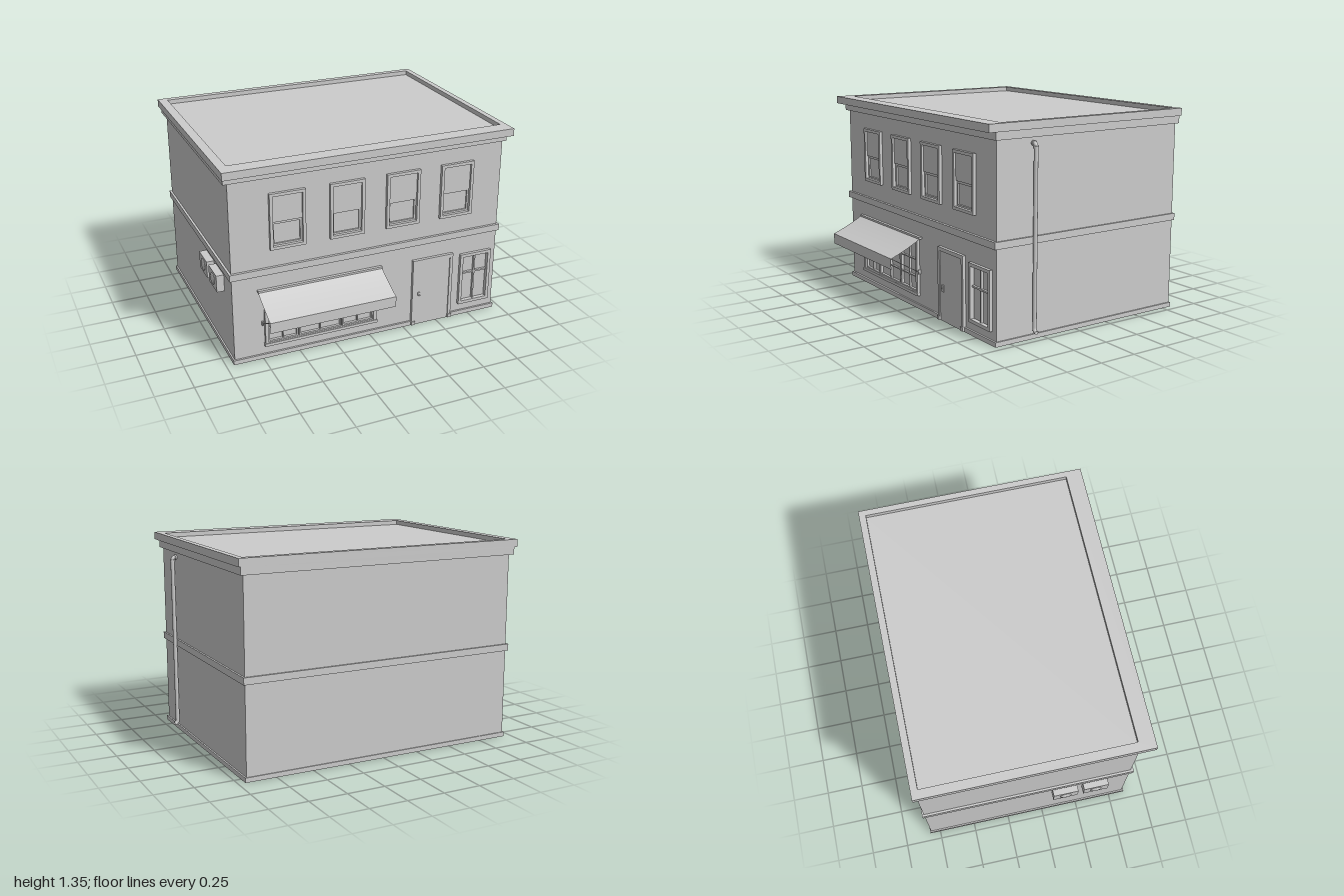
import * as THREE from 'three';

const grey = new THREE.MeshStandardMaterial({ color: 0xcccccc, side: THREE.DoubleSide });
const WALL = { x0: -0.94, x1: 0.945, z0: -0.815, z1: 0.597, top: 1.3 };

export function createModel() {
  const model = new THREE.Group();

  const add = (name, geometry, parent = model) => {
    const mesh = new THREE.Mesh(geometry, grey);
    mesh.name = name;
    parent.add(mesh);
    return mesh;
  };
  const group = (name) => {
    const g = new THREE.Group();
    g.name = name;
    model.add(g);
    return g;
  };
  // Box given by its limits on each axis
  const box = (name, x0, x1, y0, y1, z0, z1, parent) =>
    add(name, new THREE.BoxGeometry(x1 - x0, y1 - y0, z1 - z0)
      .translate((x0 + x1) / 2, (y0 + y1) / 2, (z0 + z1) / 2), parent);
  const rect = (Type, x0, x1, y0, y1) => new Type([
    [x0, y0], [x1, y0], [x1, y1], [x0, y1],
  ].map(([x, y]) => new THREE.Vector2(x, y)));
  // Upright rectangular frame with an opening
  const frame = (name, outer, inner, z0, z1, parent) => {
    const shape = rect(THREE.Shape, ...outer);
    shape.holes.push(rect(THREE.Path, ...inner));
    const geometry = new THREE.ExtrudeGeometry(shape, { depth: z1 - z0, bevelEnabled: false });
    return add(name, geometry.translate(0, 0, z0), parent);
  };
  // Horizontal band running round the building; limits are x0, x1, z0, z1
  const ring = (name, o, i, y0, y1) => {
    const shape = rect(THREE.Shape, o[0], o[1], -o[3], -o[2]);
    shape.holes.push(rect(THREE.Path, i[0], i[1], -i[3], -i[2]));
    const geometry = new THREE.ExtrudeGeometry(shape, { depth: y1 - y0, bevelEnabled: false });
    return add(name, geometry.rotateX(-Math.PI / 2).translate(0, y0, 0));
  };
  const inset = ([x0, x1, y0, y1], d) => [x0 + d, x1 - d, y0 + d, y1 - d];

  // Openings of the front wall
  const upperWindows = [-0.685, -0.285, 0.105, 0.495].map((x) => [x, x + 0.236, 0.765, 1.14]);
  const shop = [-0.735, 0.045, 0.09, 0.48];
  const side = [0.67, 0.905, 0.085, 0.465];
  const door = [0.31, 0.61, 0.005, 0.49];

  // Walls: an open shell without floor
  const { x0, x1, z0, z1, top } = WALL;
  const walls = group('walls');
  const frontShape = rect(THREE.Shape, x0, x1, 0, top);
  for (const opening of [...upperWindows, shop, side])
    frontShape.holes.push(rect(THREE.Path, ...inset(opening, 0.02)));
  add('frontWall', new THREE.ShapeGeometry(frontShape).translate(0, 0, z1), walls);
  add('backWall', new THREE.PlaneGeometry(x1 - x0, top).rotateY(Math.PI)
    .translate((x0 + x1) / 2, top / 2, z0), walls);
  for (const [name, x, turn] of [['leftWall', x1, 1], ['rightWall', x0, -1]])
    add(name, new THREE.PlaneGeometry(z1 - z0, top).rotateY(turn * Math.PI / 2)
      .translate(x, top / 2, (z0 + z1) / 2), walls);

  // Plinth, storey band, two-step cornice and sunken roof
  const wallPlan = [x0, x1, z0, z1];
  ring('plinth', [-0.95, 0.955, -0.822, 0.61], wallPlan, 0, 0.03);
  ring('storeyBand', [-0.955, 0.957, -0.827, 0.615], wallPlan, 0.6, 0.645);
  ring('lowerCornice', [-0.97, 0.965, -0.83, 0.615], wallPlan, 1.245, 1.295);
  ring('upperCornice', [-0.99, 0.98, -0.835, 0.672], [-0.93, 0.94, -0.79, 0.565], 1.295, 1.345);
  add('roof', new THREE.PlaneGeometry(1.87, 1.355).rotateX(-Math.PI / 2)
    .translate(0.005, 1.315, -0.1125));

  // Upper windows: frame, fixed top pane and a lower sash
  for (const w of upperWindows) {
    const g = group('upperWindow');
    const [a, b, c, d] = inset(w, 0.02);
    frame('windowFrame', w, [a, b, c, d], 0.59, 0.618, g);
    box('upperPane', a, b, 0.945, d, 0.597, 0.604, g);
    frame('lowerSash', [a, b, c, 0.945], [a + 0.012, b - 0.012, c + 0.012, 0.93], 0.583, 0.597, g);
    box('lowerPane', a, b, c, 0.945, 0.58, 0.586, g);
  }

  // Shop window: three casements, each of two by three panes
  const shopWindow = group('shopWindow');
  frame('shopFrame', shop, inset(shop, 0.022), 0.59, 0.617, shopWindow);
  box('shopSill', -0.74, 0.05, 0.09, 0.11, 0.597, 0.622, shopWindow);
  for (const [a, b] of [[-0.713, -0.508], [-0.502, -0.203], [-0.197, 0.023]]) {
    frame('casement', [a, b, 0.112, 0.458], [a + 0.01, b - 0.01, 0.122, 0.448], 0.586, 0.606, shopWindow);
    box('casementMullion', (a + b) / 2 - 0.004, (a + b) / 2 + 0.004, 0.12, 0.45, 0.588, 0.602, shopWindow);
    for (const y of [0.213, 0.33])
      box('casementBar', a, b, y - 0.004, y + 0.004, 0.588, 0.602, shopWindow);
  }
  box('shopGlass', -0.713, 0.023, 0.112, 0.458, 0.583, 0.588, shopWindow);

  // Small side window
  const sideWindow = group('sideWindow');
  frame('sideFrame', side, inset(side, 0.022), 0.59, 0.618, sideWindow);
  box('sideGlass', 0.69, 0.885, 0.105, 0.445, 0.583, 0.588, sideWindow);
  box('sideMullion', 0.782, 0.793, 0.105, 0.445, 0.588, 0.604, sideWindow);
  box('sideBar', 0.69, 0.885, 0.31, 0.321, 0.588, 0.604, sideWindow);

  // Door with surround, feet and handle
  const entrance = group('entrance');
  const [dl, dr, db, dt] = door;
  box('doorLintel', dl, dr, 0.465, dt, 0.59, 0.618, entrance);
  for (const [a, b] of [[dl, dl + 0.022], [dr - 0.022, dr]]) {
    box('doorJamb', a, b, db, 0.465, 0.59, 0.618, entrance);
    box('doorFoot', a - 0.003, b + 0.003, db, 0.03, 0.59, 0.625, entrance);
  }
  box('doorLeaf', dl + 0.022, dr - 0.022, db, 0.465, 0.59, 0.611, entrance);
  box('doorHandlePlate', 0.352, 0.375, 0.198, 0.245, 0.611, 0.616, entrance);
  add('doorHandle', new THREE.SphereGeometry(0.006, 10, 8).translate(0.3635, 0.224, 0.618), entrance);

  // Awning: sagging cloth swept along x, with hanging valance and stays
  const awning = group('awning');
  const sag = new THREE.QuadraticBezierCurve(
    new THREE.Vector2(0.6, 0.497), new THREE.Vector2(0.7, 0.435), new THREE.Vector2(0.83, 0.385));
  const cloth = new THREE.PlaneGeometry(0.855, 1, 1, 12);
  const p = cloth.attributes.position;
  for (let i = 0; i < p.count; i++) {
    const s = sag.getPoint(0.5 - p.getY(i));
    p.setXYZ(i, p.getX(i) - 0.3475, s.y, s.x);
  }
  cloth.computeVertexNormals();
  add('awningCloth', cloth, awning);
  add('awningValance', new THREE.PlaneGeometry(0.855, 0.072).translate(-0.3475, 0.349, 0.83), awning);
  box('awningRail', -0.775, 0.08, 0.486, 0.499, 0.59, 0.618, awning);
  for (const x of [-0.748, 0.055]) {
    const stay = new THREE.LineCurve3(new THREE.Vector3(x, 0.384, 0.827), new THREE.Vector3(x, 0.258, 0.612));
    add('awningStay', new THREE.TubeGeometry(stay, 1, 0.003, 6), awning);
    box('awningBracket', x - 0.005, x + 0.005, 0.243, 0.272, 0.597, 0.614, awning);
  }

  // Drainpipe on the left wall, bent at both ends
  const drain = group('drainpipe');
  const at = (x, y) => new THREE.Vector3(x, y, 0.333);
  const bends = new THREE.CurvePath();
  bends.add(new THREE.LineCurve3(at(0.943, 1.208), at(0.953, 1.208)));
  bends.add(new THREE.QuadraticBezierCurve3(at(0.953, 1.208), at(0.971, 1.208), at(0.971, 1.185)));
  bends.add(new THREE.LineCurve3(at(0.971, 1.185), at(0.971, 0.075)));
  bends.add(new THREE.QuadraticBezierCurve3(at(0.971, 0.075), at(0.971, 0.053), at(0.994, 0.05)));
  // Points sampled per segment keep the bends round
  const points = bends.curves.flatMap((c) => c.getPoints(c.isLineCurve3 ? 1 : 6).slice(1));
  const pipePath = new THREE.CurvePath();
  points.reduce((a, b) => (pipePath.add(new THREE.LineCurve3(a, b)), b), at(0.943, 1.208));
  add('pipe', new THREE.TubeGeometry(pipePath, 160, 0.0135, 12), drain);
  add('pipeCollar', new THREE.CylinderGeometry(0.017, 0.017, 0.014, 16).translate(0.971, 1.186, 0.333), drain);
  add('pipeInlet', new THREE.CylinderGeometry(0.018, 0.018, 0.012, 16).rotateZ(Math.PI / 2)
    .translate(0.949, 1.208, 0.333), drain);

  // Pair of wall boxes on the right wall, each with a shallow fan cover
  for (const z of [0.06, 0.27]) {
    const unit = group('wallUnit');
    box('unitCase', -0.99, -0.94, 0.45, 0.565, z, z + 0.17, unit);
    add('fanCover', new THREE.SphereGeometry(0.04, 20, 10).scale(0.25, 1, 1)
      .translate(-0.99, 0.508, z + 0.085), unit);
  }

  return model;
}
